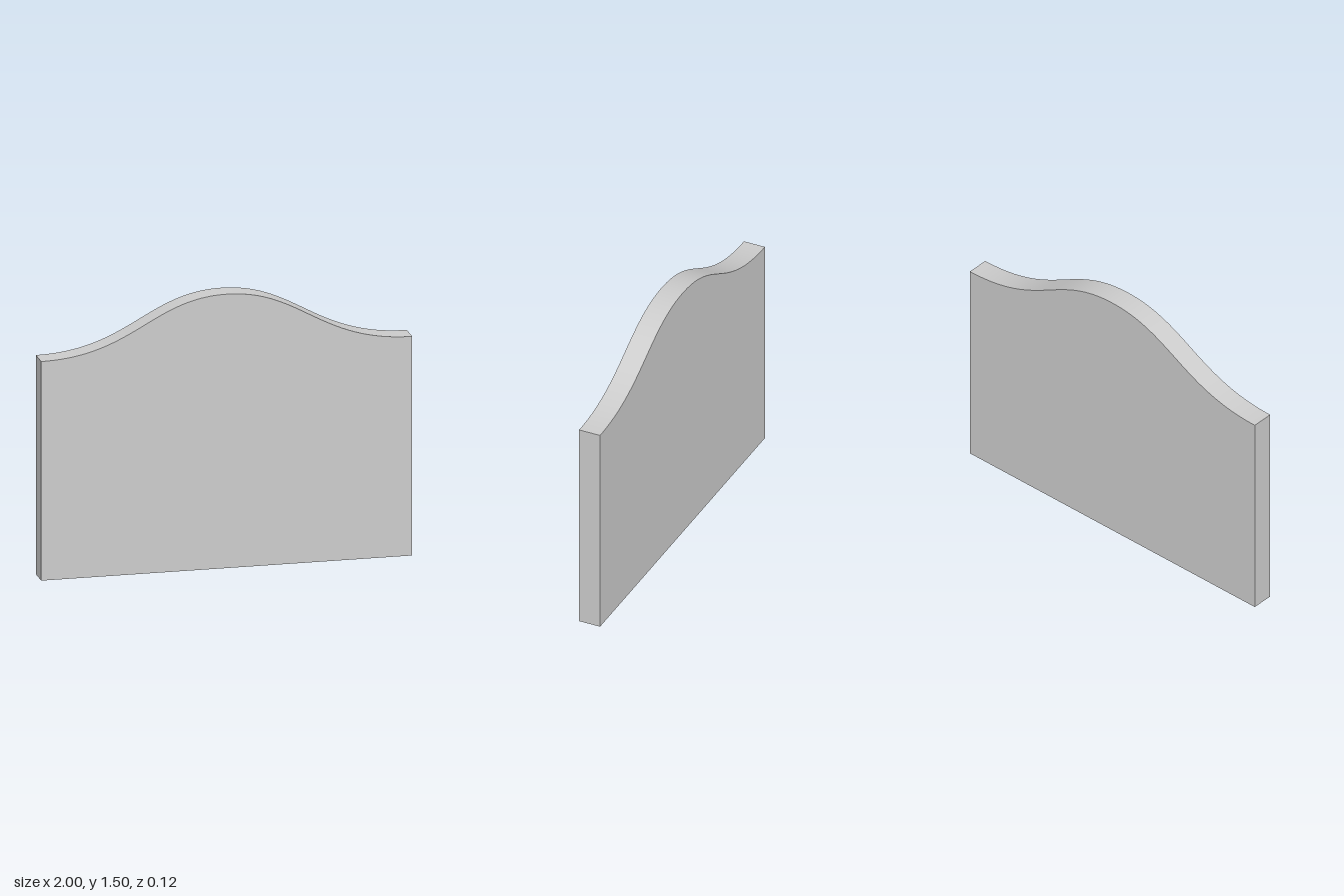
import * as THREE from 'three';

const DEPTH = 0.122;  // total thickness
const SHEET = 0.006;  // thin facing on the front

// Rectangle with a smooth crest along the top edge
function panelShape() {
  const s = new THREE.Shape();
  s.moveTo(-1, 0);
  s.lineTo(1, 0);
  s.lineTo(1, 1.2);
  s.bezierCurveTo(0.5, 1.2, 0.4, 1.5, 0, 1.5);
  s.bezierCurveTo(-0.4, 1.5, -0.5, 1.2, -1, 1.2);
  return s;
}

function slab(name, depth, z) {
  const geometry = new THREE.ExtrudeGeometry(panelShape(), {
    depth, bevelEnabled: false, curveSegments: 40,
  });
  // Smooth the crest: recompute normals on the side walls from the curve
  const p = geometry.attributes.position, n = geometry.attributes.normal;
  const curves = panelShape().curves.filter((c) => c.isCubicBezierCurve);
  const samples = curves.flatMap((c) => c.getPoints(40).map((pt, i) => ({ pt, t: c.getTangent(i / 40) })));
  for (let i = 0; i < p.count; i++) {
    if (Math.abs(n.getZ(i)) > 0.5 || n.getY(i) < 0.5) continue;
    const hit = samples.find(({ pt }) => Math.abs(pt.x - p.getX(i)) < 1e-4);
    if (hit) n.setXYZ(i, hit.t.y, -hit.t.x, 0);
  }
  const mesh = new THREE.Mesh(geometry, new THREE.MeshStandardMaterial({ color: 0xcccccc }));
  mesh.name = name;
  mesh.position.z = z;
  return mesh;
}

export function createModel() {
  const group = new THREE.Group();
  group.name = 'crestedPanel';
  group.add(slab('panel', DEPTH - SHEET, -DEPTH / 2));
  group.add(slab('frontFacing', SHEET, DEPTH / 2 - SHEET));
  return group;
}
